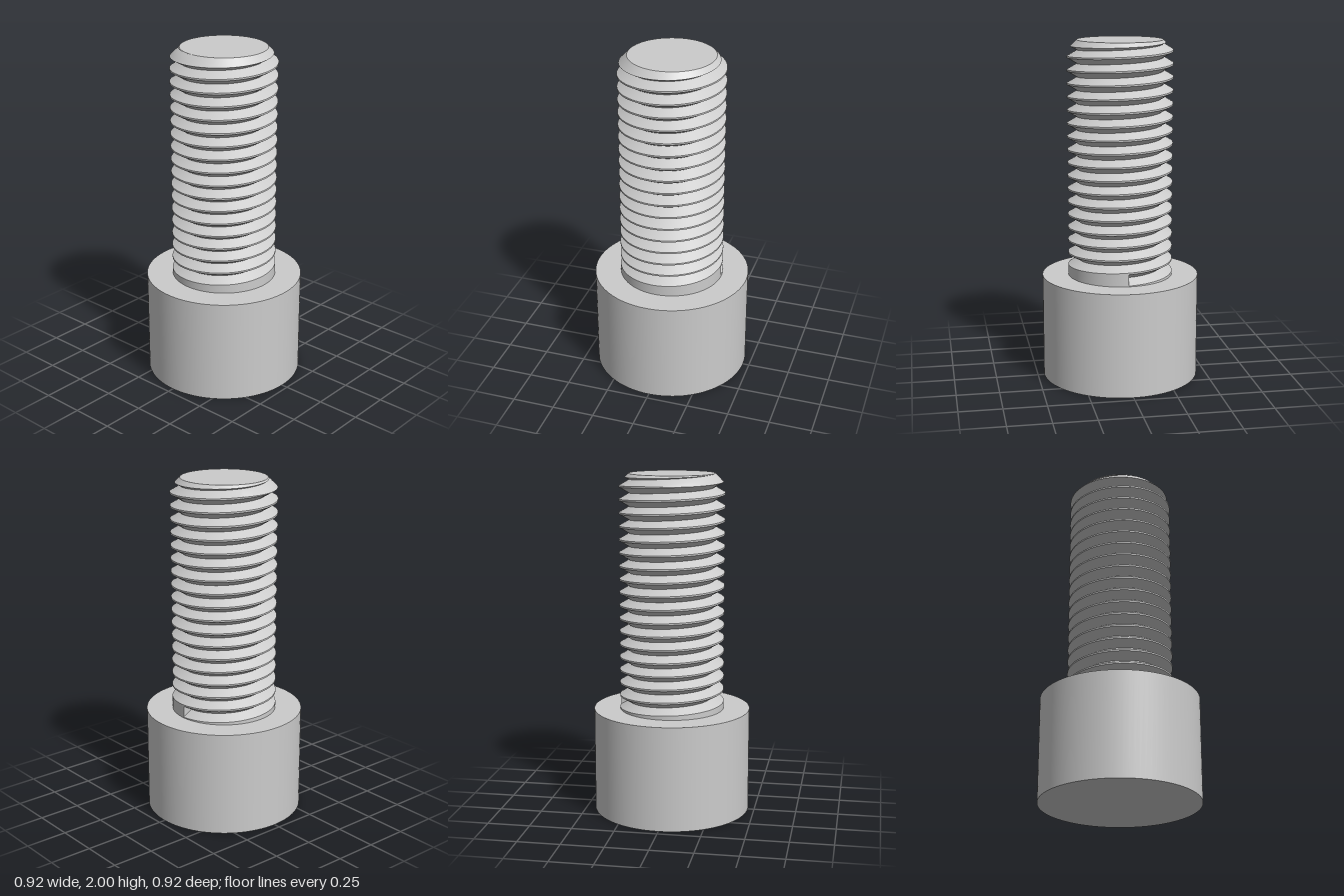
import * as THREE from 'three';
import { toCreasedNormals } from 'three/addons/utils/BufferGeometryUtils.js';

const HEAD_R = 0.4615, HEAD_H = 0.6154, TOP = 2;
const R = 0.3077, ROOT = 0.25;          // crest and root radius of the thread
const PITCH = 0.0769, HALF = 0.0337;    // pitch and half width of the V groove
const TURNS = 18, SEGMENTS = 96;

// Distance outside the 45 degree chamfer at the tip
const outside = ([r, y]) => r + y - (ROOT + TOP);

// Keep a profile point inside the chamfer
const clamp = ([r, y]) => {
  const yy = Math.min(y, TOP);
  return [Math.min(r, ROOT + TOP - yy), yy];
};

// Shank outline [radius, height] at the fraction t of a turn
function profile(t) {
  const raw = [[R, HEAD_H]];
  for (let k = 0; k < TURNS; k++) {
    const y = HEAD_H + PITCH * (0.5 + k + t);
    raw.push([R, y - HALF], [ROOT, y], [R, y + HALF]);
  }
  raw.push([R, TOP + 2 * PITCH]);
  const points = [];
  raw.forEach((p, i) => {
    points.push(clamp(p));
    const q = raw[i + 1];
    if (!q) return;
    // One extra point per edge, placed where the edge meets the chamfer
    const a = outside(p), b = outside(q);
    const f = a * b < 0 ? a / (a - b) : 0.5;
    points.push(clamp([p[0] + (q[0] - p[0]) * f, p[1] + (q[1] - p[1]) * f]));
  });
  points.push([0, TOP]);
  return points;
}

function threadedShank() {
  const rings = [];
  for (let i = 0; i <= SEGMENTS; i++) {
    const t = i / SEGMENTS, angle = t * Math.PI * 2;
    const c = Math.cos(angle), s = Math.sin(angle);
    rings.push(profile(t).map(([r, y]) => [r * c, y, -r * s]));
  }
  const pos = [];
  for (let i = 0; i < SEGMENTS; i++) {
    const a = rings[i], b = rings[i + 1];
    for (let j = 0; j < a.length - 1; j++) {
      pos.push(...a[j], ...b[j], ...b[j + 1], ...a[j], ...b[j + 1], ...a[j + 1]);
    }
  }
  // End wall where the groove begins
  const y = HEAD_H + PITCH / 2;
  pos.push(R, y - HALF, 0, ROOT, y, 0, R, y + HALF, 0);

  const geometry = new THREE.BufferGeometry();
  geometry.setAttribute('position', new THREE.Float32BufferAttribute(pos, 3));
  return toCreasedNormals(geometry, 0.5);
}

export function createModel() {
  const group = new THREE.Group();
  group.name = 'capScrew';
  const material = new THREE.MeshStandardMaterial({ color: 0xcccccc });

  // Plain cylindrical head
  const head = new THREE.Mesh(new THREE.CylinderGeometry(HEAD_R, HEAD_R, HEAD_H, SEGMENTS), material);
  head.name = 'head';
  head.position.y = HEAD_H / 2;

  // Right-handed thread with chamfered tip
  const shank = new THREE.Mesh(threadedShank(), material);
  shank.name = 'threadedShank';

  group.add(head, shank);
  return group;
}
